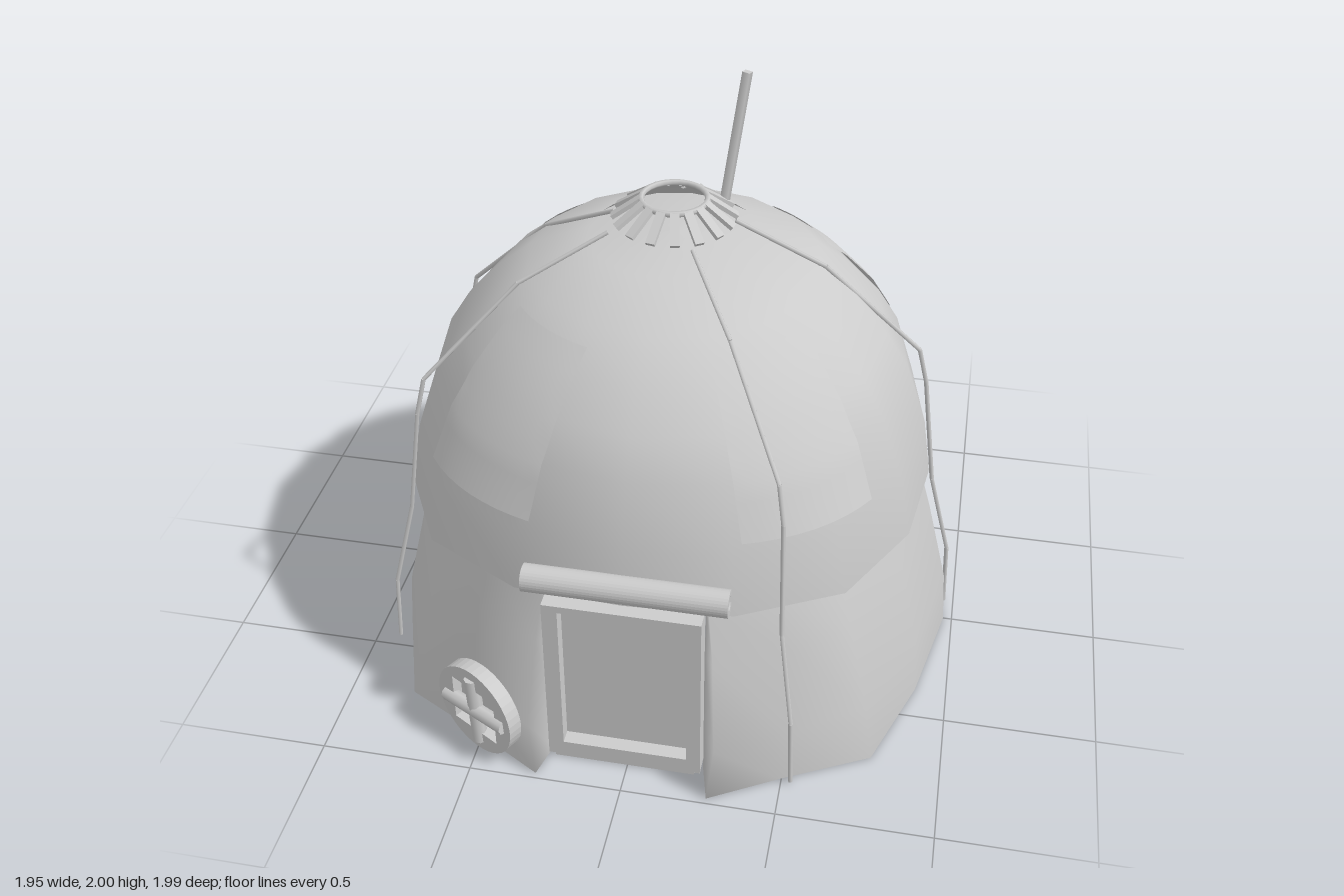
import * as THREE from 'three';

const mat = new THREE.MeshStandardMaterial({ color: 0xcccccc, side: THREE.DoubleSide });
const liningMat = new THREE.MeshStandardMaterial({ color: 0xcccccc, side: THREE.BackSide });
const V = (x, y, z) => new THREE.Vector3(x, y, z);
const SIDES = 16;
const CX = -0.015;

// dome profile: radius, height
const DOME = [[0.875, 0.66], [0.845, 0.86], [0.775, 1.07], [0.7, 1.19], [0.6, 1.3], [0.48, 1.4], [0.28, 1.485], [0, 1.5]];

function mesh(parent, name, geometry, material = mat) {
  const m = new THREE.Mesh(geometry, material);
  m.name = name;
  parent.add(m);
  return m;
}

function group(parent, name) {
  const g = new THREE.Group();
  g.name = name;
  parent.add(g);
  return g;
}

function box(parent, name, w, h, d, x, y, z) {
  const m = mesh(parent, name, new THREE.BoxGeometry(w, h, d));
  m.position.set(x, y, z);
  return m;
}

// straight bar between two points
function rod(parent, name, a, b, r, sides = 6) {
  const m = mesh(parent, name, new THREE.CylinderGeometry(r, r, a.distanceTo(b), sides));
  m.position.copy(a).lerp(b, 0.5);
  m.quaternion.setFromUnitVectors(V(0, 1, 0), b.clone().sub(a).normalize());
  return m;
}

// smooth surface over a grid of points: point(i, j), i across, j upwards
function sheet(nx, ny, point) {
  const pos = [], idx = [];
  for (let j = 0; j <= ny; j++) for (let i = 0; i <= nx; i++) pos.push(...point(i, j));
  for (let j = 0; j < ny; j++) for (let i = 0; i < nx; i++) {
    const a = j * (nx + 1) + i, b = a + nx + 1;
    idx.push(a, a + 1, b, a + 1, b + 1, b);
  }
  const g = new THREE.BufferGeometry();
  g.setAttribute('position', new THREE.Float32BufferAttribute(pos, 3));
  g.setIndex(idx);
  g.computeVertexNormals();
  return g;
}

function domeRadius(y) {
  for (let i = 1; i < DOME.length; i++) {
    const [r0, y0] = DOME[i - 1], [r1, y1] = DOME[i];
    if (y <= y1) return r0 + (r1 - r0) * (y - y0) / (y1 - y0);
  }
  return 0;
}

// the hem bulges at the front corners and is flatter over the door and at the back
function domeSwell(angle, y) {
  const a = Math.abs(Math.atan2(Math.sin(angle), Math.cos(angle)));
  const bump = (centre, width) => Math.exp(-(((a - centre) / width) ** 2));
  const low = THREE.MathUtils.clamp((1.15 - y) / 0.45, 0, 1);
  return low * (0.075 * bump(Math.PI / 4, 0.44) - 0.03 * bump(0, 0.26) - 0.015 * Math.max(0, -Math.cos(a)));
}

export function createModel() {
  const model = new THREE.Group();
  model.name = 'hut';

  // domed canvas roof
  const domeGeo = new THREE.LatheGeometry(DOME.map(p => new THREE.Vector2(...p)), SIDES);
  const p = domeGeo.attributes.position;
  for (let i = 0; i < p.count; i++) {
    const k = 1 + domeSwell(Math.atan2(p.getX(i), p.getZ(i)), p.getY(i));
    p.setXYZ(i, p.getX(i) * k, p.getY(i), p.getZ(i) * k);
  }
  mesh(model, 'domeRoof', domeGeo).position.x = CX;

  // collar lining under the vent, showing its inner face
  const lining = mesh(model, 'ventLining', new THREE.CylinderGeometry(0.2, 0.29, 0.075, SIDES, 1, true), liningMat);
  lining.position.set(CX, 1.515, 0);

  // lower wall, open at the door, with flaps flaring forward beside it
  const heights = [0, 0.2, 0.5, 0.68];
  const wallR = [0.975, 0.96, 0.885, 0.83];
  const flaps = [
    [[0.25, 0.86], [0.25, 0.86], [0.25, 0.86], [0.25, 0.84]],
    [[0.28, 0.98], [0.3, 0.965], [0.28, 0.89], [0.26, 0.85]],
    [[0.5, 0.855], [0.52, 0.835], [0.5, 0.78], [0.45, 0.76]],
    [[0.78, 0.71], [0.75, 0.69], [0.68, 0.65], [0.63, 0.61]],
  ];
  const columns = [...flaps];
  for (let k = 3; k <= 13; k++) {
    const a = k / SIDES * Math.PI * 2;
    const k2 = 1 - 0.025 * Math.max(0, -Math.cos(a));
    columns.push(wallR.map(r => [Math.sin(a) * r * k2, Math.cos(a) * r * k2]));
  }
  for (const f of [...flaps].reverse()) columns.push(f.map(([x, z]) => [-x, z]));
  mesh(model, 'lowerWall', sheet(columns.length - 1, 3, (i, j) => {
    const [x, z] = columns[i][j];
    return [x - 0.005, heights[j], z];
  }));

  // four cloth patches following the dome: centre angle from the front
  for (const deg of [-36, 40, 135, -138]) {
    mesh(model, 'roofPatch', sheet(8, 8, (i, j) => {
      const y = 0.9 + 0.46 * j / 8;
      const a = (deg + (i / 4 - 1) * (15.5 + 2 * j / 8)) * Math.PI / 180;
      const r = domeRadius(y) * (1 + domeSwell(a, y)) + 0.005;
      return [CX + Math.sin(a) * r, y, Math.cos(a) * r];
    }));
  }

  // smoke vent of slats under a small ring
  const vent = group(model, 'smokeVent');
  vent.position.x = CX;
  const ring = mesh(vent, 'ventRing', new THREE.TorusGeometry(0.106, 0.01, 6, 24));
  ring.rotation.x = Math.PI / 2;
  ring.position.y = 1.615;
  for (let k = 0; k < SIDES; k++) {
    const holder = group(vent, 'ventSlat');
    holder.rotation.y = (k + 0.5) / SIDES * Math.PI * 2;
    const slat = box(holder, 'slat', 0.03, 0.014, 0.115, 0, 1.585, 0.152);
    slat.rotation.x = Math.atan2(0.06, 0.087);
  }

  // leaning pole
  const pole = rod(model, 'pole', V(0.125, 1.54, -0.105), V(0.185, 1.995, -0.15), 0.018, 4);
  pole.rotateY(0.5);

  // guy ropes: start x, z and end x, z
  const ropes = [
    [-0.025, -0.2, -0.02, -0.99], [0.18, -0.01, 0.965, -0.09], [0.08, 0.2, 0.53, 0.865],
    [-0.2, 0.14, -0.92, 0.455], [-0.21, 0.0, -0.93, -0.325],
  ];
  // share of the run, height and sideways drift
  const drop = [[0, 1.55, 0], [0.37, 1.4, 0.008], [0.78, 1.09, -0.008], [0.82, 0.96, -0.012], [0.885, 0.57, 0.008], [0.985, 0.26, 0.004], [1, 0.008, 0]];
  for (const [x0, z0, x1, z1] of ropes) {
    const rope = group(model, 'guyRope');
    const pts = drop.map(([f, y, s]) => V(x0 + (x1 - x0) * f - (z1 - z0) * s, y, z0 + (z1 - z0) * f + (x1 - x0) * s));
    for (let i = 1; i < pts.length; i++) rod(rope, 'ropeLength', pts[i - 1], pts[i], 0.0075);
  }

  // door: deep frame, recessed panel and sill
  const door = group(model, 'door');
  const rect = (P, x0, y0, x1, y1) => {
    const path = new P();
    path.moveTo(x0, y0).lineTo(x1, y0).lineTo(x1, y1).lineTo(x0, y1).closePath();
    return path;
  };
  const frame = rect(THREE.Shape, -0.26, 0.015, 0.24, 0.66);
  frame.holes.push(rect(THREE.Path, -0.21, 0.07, 0.195, 0.635));
  mesh(door, 'doorFrame', new THREE.ExtrudeGeometry(frame, { depth: 0.07, bevelEnabled: false })).position.z = 0.825;
  box(door, 'doorPanel', 0.42, 0.58, 0.015, -0.01, 0.35, 0.84);
  box(door, 'doorSill', 0.46, 0.02, 0.08, -0.01, 0.01, 0.85);

  // rolled-up door curtain, a curl open at the back
  const curl = new THREE.Shape();
  curl.absarc(0, 0, 0.044, 0.6, Math.PI * 2 - 0.6, false);
  curl.absarc(0, 0, 0.022, Math.PI * 2 - 0.6, 0.6, true);
  const roll = mesh(model, 'curtainRoll', new THREE.ExtrudeGeometry(curl, { depth: 0.64, bevelEnabled: false, curveSegments: 12 }));
  roll.rotation.y = Math.PI / 2;
  roll.position.set(-0.32, 0.735, 0.862);

  // round hatch with a square recess and crossed bars, leaning on the wall
  const hatch = group(model, 'roundHatch');
  hatch.position.set(-0.485, 0.175, 0.885);
  hatch.rotation.y = -0.52;
  const disc = new THREE.Shape();
  disc.absarc(0, 0, 0.165, 0, Math.PI * 2);
  disc.holes.push(rect(THREE.Path, -0.095, -0.09, 0.095, 0.09));
  mesh(hatch, 'hatchRim', new THREE.ExtrudeGeometry(disc, { depth: 0.05, bevelEnabled: false, curveSegments: 20 })).position.z = -0.02;
  box(hatch, 'hatchBack', 0.2, 0.19, 0.01, 0, 0, -0.01);
  const bars = group(hatch, 'crossBars');
  bars.rotation.z = 0.07;
  rod(bars, 'uprightBar', V(0, -0.13, 0.022), V(0, 0.13, 0.022), 0.025, 8);
  rod(bars, 'levelBar', V(-0.135, 0, 0.026), V(0.135, 0, 0.026), 0.025, 8);

  return model;
}
